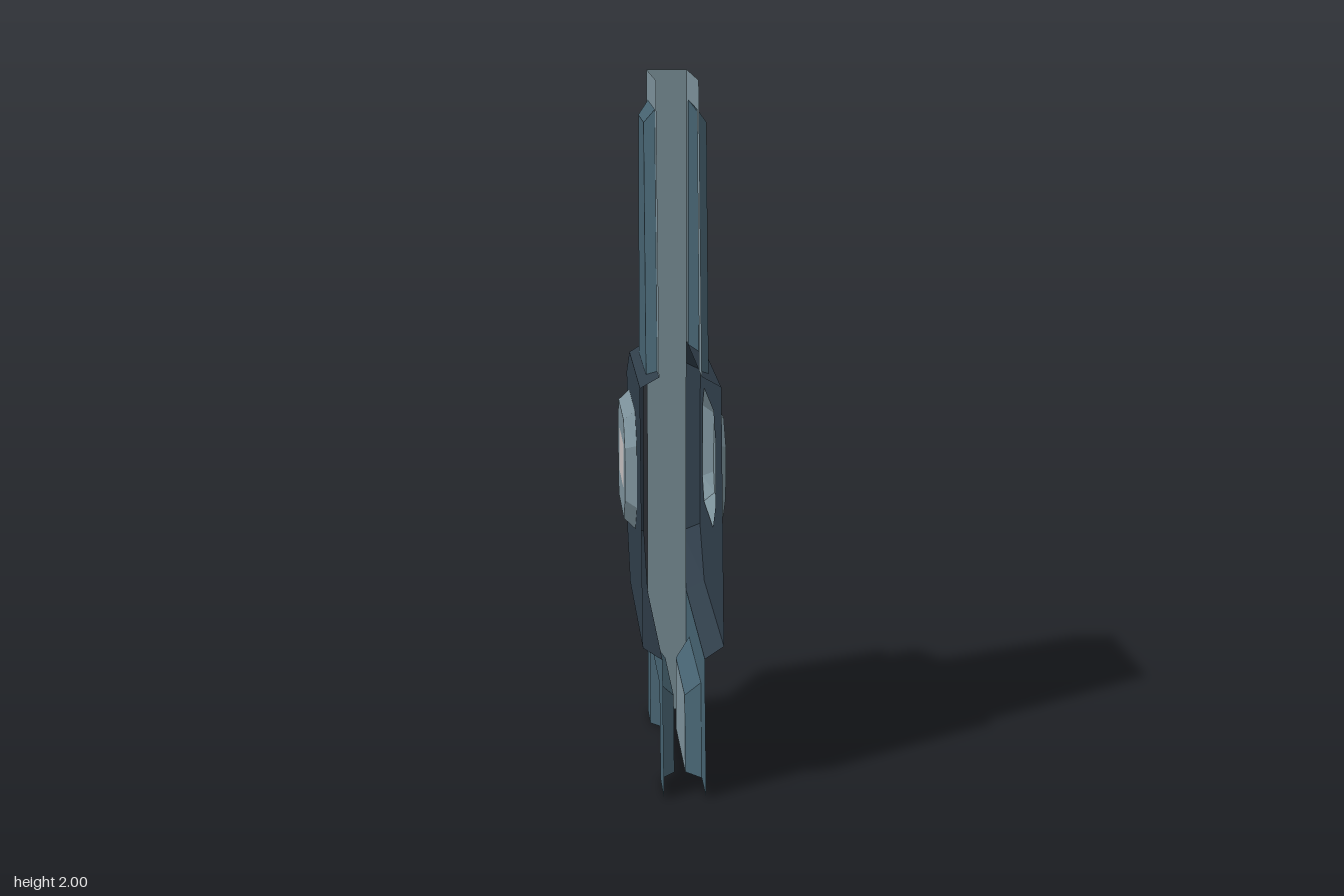
import * as THREE from 'three';

const paint = (name, color) => {
  const m = new THREE.MeshStandardMaterial({ color, side: THREE.DoubleSide });
  m.name = name;
  return m;
};

// All outlines are [z, y] points, counterclockwise with z to the right.
const frontZ = (y) => 0.486 - 0.162 * y; // sloping front edge
const REAR = -0.29;
const BASE = 0.06, UPPER = 0.09, GUARD = 0.115, BOSS = 0.148, RECESS = 0.016;

const upperOuter = [[-0.225, 1.18], [-0.225, 1.915], [0.107, 1.915], [0.203, 1.18]].reverse();
const upperInner = [[-0.19, 1.164], [-0.19, 1.875], [0.072, 1.875], [0.165, 1.164]].reverse();
const lowerOuter = [[-0.165, 0], [-0.16, 0.277], [0.29, 0.277], [0.328, 0]].reverse();
const lowerInner = [[-0.115, 0], [-0.115, 0.225], [0.245, 0.225], [0.275, 0]].reverse();
const upperFrame = [[frontZ(2), 2], [REAR, 2], [REAR, 1.18], ...[...upperOuter].reverse(), [frontZ(1.18), 1.18]];
const lowerFrame = [[frontZ(0.39), 0.39], [REAR, 0.39], [REAR, 0], ...[...lowerOuter].reverse(), [frontZ(0), 0]];
const guardOuter = [[frontZ(1.18), 1.18], [REAR, 1.18], [-0.483, 1.08], [-0.483, 0.53], [REAR, 0.39], [frontZ(0.39), 0.39]];
const guardInner = [[frontZ(1.15), 1.15], [-0.27, 1.15], [-0.437, 1.06], [-0.437, 0.565], [-0.27, 0.425], [frontZ(0.425), 0.425]];
const bossOuter = [[0.125, 0.945], [0.04, 1.03], [-0.29, 1.03], [-0.35, 0.965], [-0.35, 0.74], [-0.285, 0.675], [0.04, 0.675], [0.125, 0.76]];
const bossInner = [[0.09, 0.93], [0.015, 1.0], [-0.285, 1.0], [-0.322, 0.945], [-0.322, 0.76], [-0.285, 0.702], [0.015, 0.702], [0.09, 0.775]];
const windowOutline = [[0, 0.925], [-0.235, 0.925], [-0.235, 0.79], [0, 0.79]];

// Triangles of [x, z, y] corners; the winding follows the side they face.
function surface(name, triangles, side, material) {
  const out = [];
  for (const t of triangles) {
    for (const [x, z, y] of side > 0 ? [...t].reverse() : t) out.push(side * x, y, z);
  }
  const g = new THREE.BufferGeometry();
  g.setAttribute('position', new THREE.Float32BufferAttribute(out, 3));
  g.computeVertexNormals();
  const mesh = new THREE.Mesh(g, material);
  mesh.name = name;
  return mesh;
}

// Flat sheet at a given x, with an optional hole
function sheet(name, outline, x, side, material, hole) {
  const contour = outline.map((p) => new THREE.Vector2(...p));
  const holes = hole ? [hole.map((p) => new THREE.Vector2(...p))] : [];
  const points = hole ? [...outline, ...hole] : outline;
  const area = THREE.ShapeUtils.area;
  const tris = THREE.ShapeUtils.triangulateShape(contour, holes).map((f) => {
    const flat = f.map((i) => new THREE.Vector2(...points[i]));
    const order = area(flat) < 0 ? [...f].reverse() : f;
    return order.map((i) => [x, ...points[i]]);
  });
  return surface(name, tris, side, material);
}

// Bevel band joining an outer outline at x0 to an inner one at x1
function bevel(name, outer, inner, x0, x1, closed, side, material) {
  const tris = [], n = outer.length;
  for (let i = 0; i < (closed ? n : n - 1); i++) {
    const j = (i + 1) % n;
    const a = [x0, ...outer[i]], b = [x0, ...outer[j]];
    const c = [x1, ...inner[j]], d = [x1, ...inner[i]];
    tris.push([a, b, c], [a, c, d]);
  }
  return surface(name, tris, side, material);
}

export function createModel() {
  const light = paint('pale steel', 0x7b9099);
  const mid = paint('blue steel', 0x466270);
  const dark = paint('dark steel', 0x2f3d49);
  const pale = paint('warm grey', 0xc2bcbc);

  const model = new THREE.Group();
  model.name = 'hollowPylon';

  // Spine closing the rear
  const spine = new THREE.Mesh(new THREE.PlaneGeometry(2 * BASE, 2), light);
  spine.name = 'spine';
  spine.rotation.y = Math.PI;
  spine.position.set(0, 1, REAR);
  model.add(spine);

  for (const side of [1, -1]) {
    const half = new THREE.Group();
    half.name = side > 0 ? 'leftShell' : 'rightShell';
    half.add(
      // Upper blade with raised panel
      sheet('upperFrame', upperFrame, BASE, side, light),
      bevel('upperPanelBevel', upperOuter, upperInner, BASE, UPPER, false, side, mid),
      sheet('upperPanel', upperInner, UPPER, side, mid),
      // Foot with sunken panel
      sheet('footFrame', lowerFrame, BASE, side, mid),
      bevel('footRecessBevel', lowerOuter, lowerInner, BASE, RECESS, false, side, mid),
      sheet('footRecess', lowerInner, RECESS, side, light),
      // Wide middle guard, open at the front
      bevel('guardBevel', guardOuter, guardInner, BASE, GUARD, false, side, dark),
      sheet('guardPlate', guardInner, GUARD, side, dark, bossOuter),
      // Eight-sided boss with a small window
      bevel('bossBevel', bossOuter, bossInner, GUARD, BOSS, true, side, light),
      sheet('bossPlate', bossInner, BOSS, side, light, windowOutline),
      sheet('bossWindow', windowOutline, BOSS, side, pale),
    );
    model.add(half);
  }
  return model;
}
